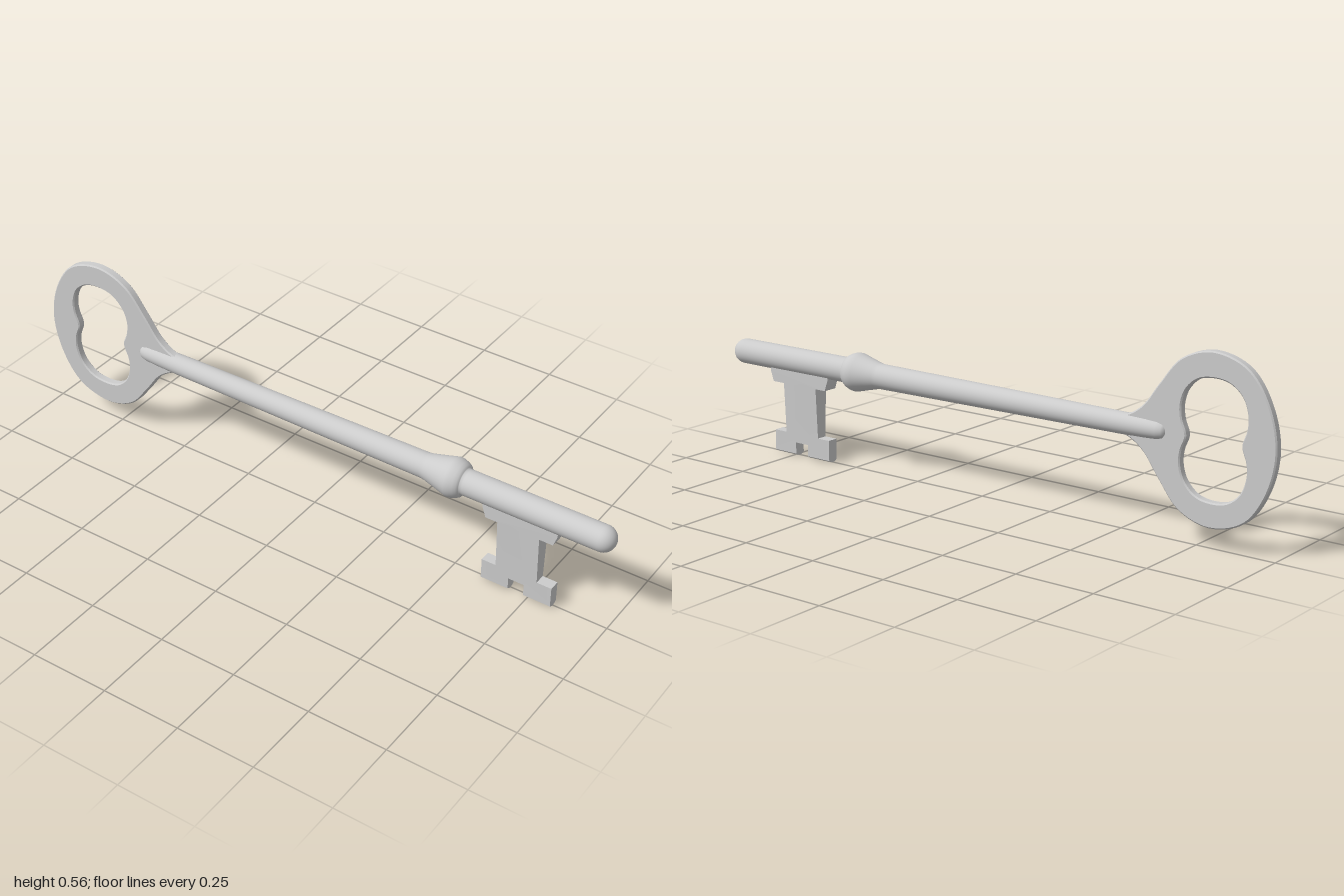
import * as THREE from 'three';
import { toCreasedNormals } from 'three/addons/utils/BufferGeometryUtils.js';

const AXIS_Y = 0.31;
const material = new THREE.MeshStandardMaterial({ color: 0xcccccc });
const v2 = ([x, y]) => new THREE.Vector2(x, y);

// Closed smooth counter-clockwise outline from its lower half, given as
// [x, distance from the axis]; first and last points lie on the axis
function mirroredOutline(half, segments) {
  const lower = half.map(([x, d]) => [x, -d]);
  const upper = half.slice(1, -1).reverse();
  const points = [...lower, ...upper].map(([x, y]) => new THREE.Vector3(x, y + AXIS_Y, 0));
  const curve = new THREE.CatmullRomCurve3(points, true, 'centripetal');
  return curve.getPoints(segments).slice(0, -1).map((p) => new THREE.Vector2(p.x, p.y));
}

function makeMesh(name, geometry) {
  const mesh = new THREE.Mesh(geometry, material);
  mesh.name = name;
  return mesh;
}

// Flat oval handle with a waisted opening, running into the shaft
function makeBow() {
  const shape = new THREE.Shape(mirroredOutline([
    [-1, 0], [-0.972, 0.125], [-0.905, 0.217], [-0.795, 0.25], [-0.695, 0.217],
    [-0.625, 0.135], [-0.575, 0.068], [-0.53, 0.036], [-0.48, 0.02], [-0.46, 0],
  ], 120));
  shape.holes.push(new THREE.Path(mirroredOutline([
    [-0.892, 0], [-0.906, 0.045], [-0.908, 0.085], [-0.89, 0.135], [-0.85, 0.167], [-0.8, 0.175],
    [-0.75, 0.165], [-0.712, 0.13], [-0.697, 0.085], [-0.7, 0.045], [-0.715, 0],
  ], 120)));
  const bevel = 0.004;
  const geometry = new THREE.ExtrudeGeometry(shape, {
    depth: 0.019, bevelThickness: bevel, bevelSize: bevel, bevelOffset: -bevel, bevelSegments: 1,
  });
  geometry.translate(0, 0, -0.0095);
  return makeMesh('bow', toCreasedNormals(geometry, 0.6));
}

// Tapered round shaft, flared collar and round-ended pin, turned about x
function makeShaft() {
  const profile = [
    [0, -0.65], [0.015, -0.648], [0.024, -0.638], [0.028, -0.62], [0.03, -0.58], [0.032, -0.5],
    [0.036, 0], [0.039, 0.385], [0.041, 0.4], [0.05, 0.437], [0.058, 0.468], [0.061, 0.48],
    [0.06, 0.492], [0.055, 0.506], [0.05, 0.515], [0.044, 0.52], [0.04, 0.521], [0.04, 0.53], [0.04, 0.95],
  ];
  for (let i = 0; i <= 8; i++) {
    const a = (i / 8) * Math.PI / 2;
    profile.push([0.04 * Math.cos(a), 0.96 + 0.04 * Math.sin(a)]);
  }
  const geometry = new THREE.LatheGeometry(profile.map(v2), 40);
  geometry.rotateZ(-Math.PI / 2).translate(0, AXIS_Y, 0);
  return makeMesh('shaft', geometry);
}

// Toothed plate that thins downward and has a rounded lower edge
function makeBit() {
  const shape = new THREE.Shape([
    [0.592, 0.29], [0.592, 0.27], [0.604, 0.235], [0.643, 0.235], [0.643, 0.073], [0.597, 0.073],
    [0.597, 0], [0.687, 0], [0.687, 0.044], [0.738, 0.044], [0.738, 0], [0.826, 0],
    [0.826, 0.073], [0.778, 0.073], [0.778, 0.235], [0.822, 0.235], [0.834, 0.27], [0.834, 0.29],
  ].map(v2));
  const geometry = new THREE.ExtrudeGeometry(shape, { depth: 2, steps: 6, bevelEnabled: false });
  geometry.translate(0, 0, -1);
  const pos = geometry.attributes.position;
  for (let i = 0; i < pos.count; i++) {
    const y = pos.getY(i), z = pos.getZ(i);
    const t = THREE.MathUtils.clamp((y - 0.073) / 0.162, 0, 1);
    pos.setZ(i, z * THREE.MathUtils.lerp(0.0175, 0.0245, t));
    if (y < 0.001) pos.setY(i, 0.007 * z * z);
  }
  return makeMesh('bit', toCreasedNormals(geometry, 0.5));
}

export function createModel() {
  const group = new THREE.Group();
  group.name = 'key';
  group.add(makeBow(), makeShaft(), makeBit());
  return group;
}
